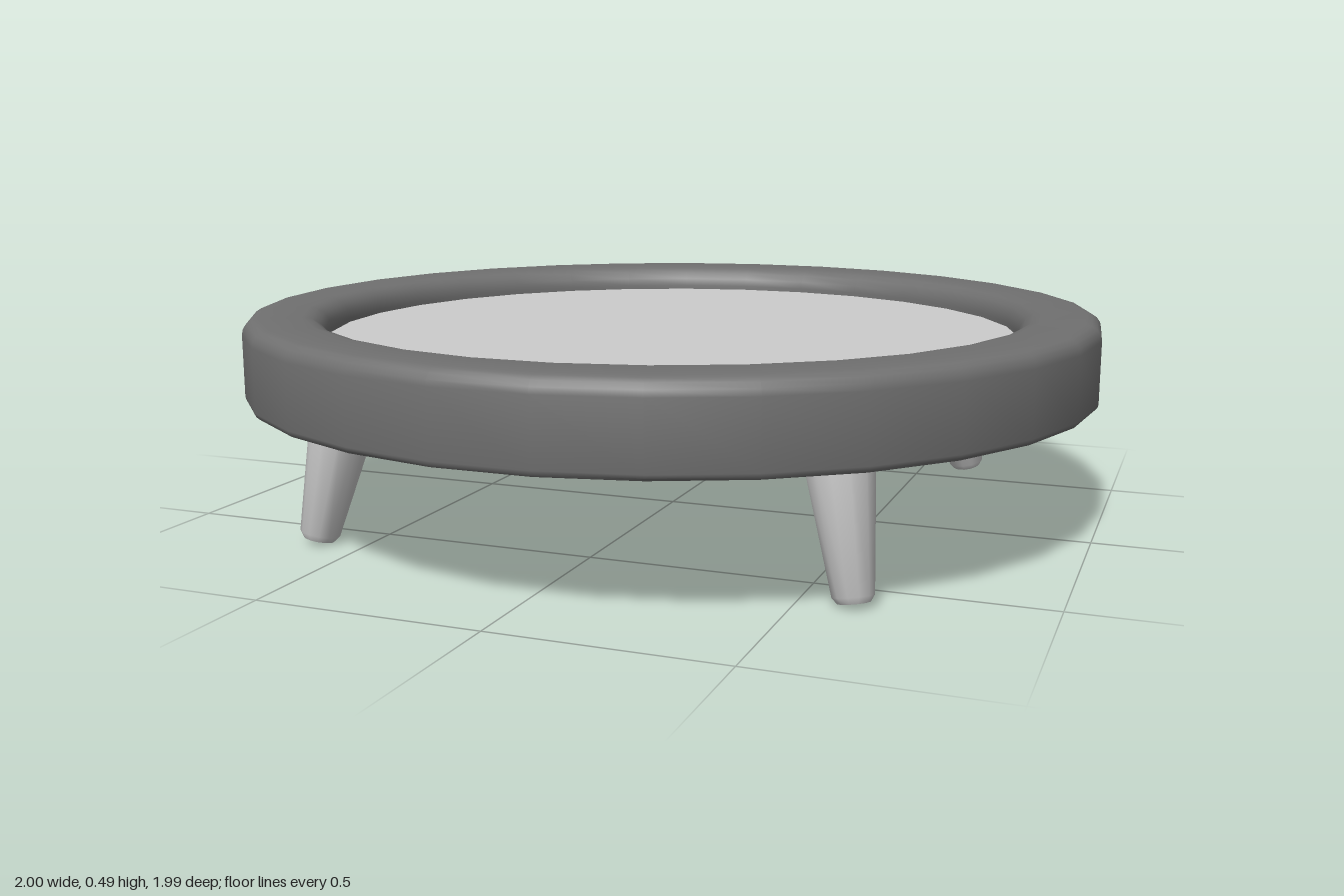
import * as THREE from 'three';
import { toCreasedNormals } from 'three/addons/utils/BufferGeometryUtils.js';

const SIDES = 30;

// Points of a quarter round, angles in units of 90 degrees
function corner(cx, cy, r, from, to, steps) {
  const points = [];
  for (let i = 0; i <= steps; i++) {
    const a = (from + (to - from) * i / steps) * Math.PI / 2;
    points.push(new THREE.Vector2(cx + r * Math.cos(a), cy + r * Math.sin(a)));
  }
  return points;
}

export function createModel() {
  const model = new THREE.Group();
  const grey = new THREE.MeshStandardMaterial({ color: 0xcccccc });
  const dark = new THREE.MeshStandardMaterial({ color: 0x707070 });

  // Round rim with closed underside and softened edges
  const profile = [
    new THREE.Vector2(0, 0.3),
    ...corner(0.985, 0.315, 0.015, -1, 0, 3),
    ...corner(0.965, 0.455, 0.035, 0, 1, 4),
    ...corner(0.865, 0.44, 0.05, 1, 2, 4),
    new THREE.Vector2(0.815, 0.42),
  ];
  const rimGeometry = new THREE.LatheGeometry(profile, SIDES, Math.PI / 2);
  const rim = new THREE.Mesh(toCreasedNormals(rimGeometry, 0.75), dark);
  rim.name = 'rim';
  model.add(rim);

  // Recessed flat surface inside the rim
  const surface = new THREE.Mesh(new THREE.CircleGeometry(0.817, SIDES), grey);
  surface.name = 'topSurface';
  surface.rotation.x = -Math.PI / 2;
  surface.position.y = 0.43;
  model.add(surface);

  // Four tapered legs splayed towards the corners
  const legProfile = [[0, 0], [0.034, 0], [0.044, 0.014], [0.078, 0.32], [0, 0.32]]
    .map(([r, y]) => new THREE.Vector2(r, y));
  const legGeometry = toCreasedNormals(new THREE.LatheGeometry(legProfile, 12), 0.7);
  const up = new THREE.Vector3(0, 1, 0);
  for (const sx of [-1, 1]) {
    for (const sz of [-1, 1]) {
      const leg = new THREE.Mesh(legGeometry, grey);
      leg.name = (sz > 0 ? 'front' : 'back') + (sx > 0 ? 'Left' : 'Right') + 'Leg';
      leg.position.set(sx * 0.613, 0.008, sz * 0.613);
      const axis = new THREE.Vector3(-sx * 0.05, 0.29, -sz * 0.05).normalize();
      leg.quaternion.setFromUnitVectors(up, axis);
      model.add(leg);
    }
  }
  return model;
}
